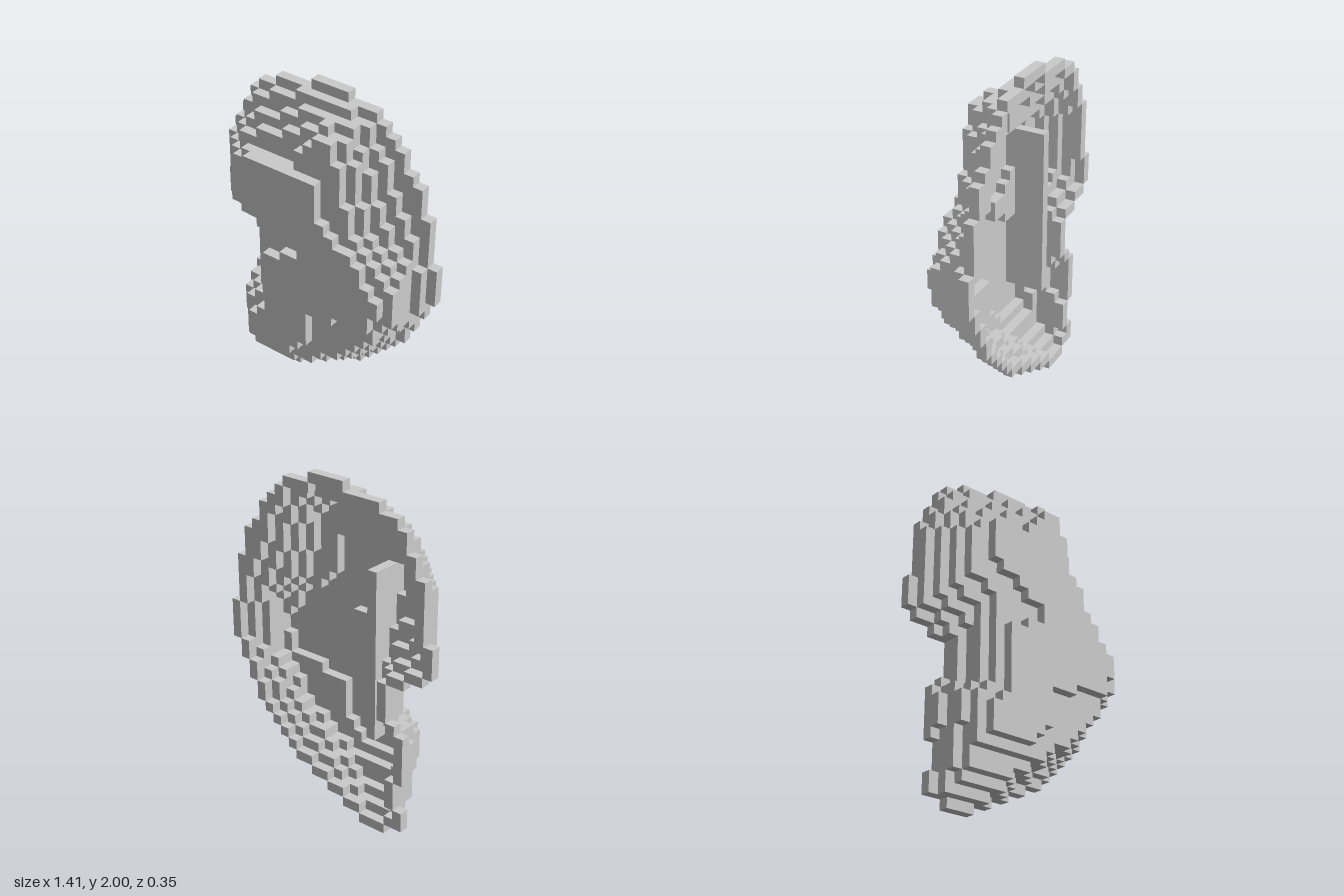
import * as THREE from 'three';
import { mergeGeometries } from 'three/addons/utils/BufferGeometryUtils.js';

const S = 2 / 34; // cube size

// Outlines in cube units, counter-clockwise from the bottom tip
const BACK = [
  [-5, 0], [3, 4], [8.5, 9], [11.6, 15], [11.63, 18.8], [9.85, 26.5], [7, 30.6], [5, 32.7], [1.8, 33.6],
  [-1.8, 33.6], [-6, 32.6], [-8.9, 30.5], [-10.95, 26.5], [-11.8, 18.1], [-7, 15.5], [-7, 12], [-9.25, 10],
  [-8, 4], [-9, 1.2], [-6, 0],
];
const MIDDLE = [
  [-1, 4.6], [4, 7.5], [6.5, 10], [9.6, 14], [9.6, 18], [5, 22], [4, 28], [3, 30.8], [1, 30.6],
  [-1, 29], [-1.5, 27], [-6.5, 27], [-8, 25], [-7.6, 21.5], [-5, 19.5], [-5, 11], [-7, 9.5],
  [-7, 6], [-6, 4.8], [-5, 4.6],
];
const FRONT = [
  [-5, 6], [-1, 6], [1, 9], [1, 12], [8, 13], [9, 16], [6, 20.5], [2, 23], [1.5, 27], [-6, 27],
  [-6, 23], [0, 19.5], [0, 18], [-4, 17], [-4, 10.5], [-6, 9], [-6, 7],
];

// Five layers blend from the back outline to the middle one (the left side
// recedes later than the right), the sixth is the front
const LAYERS = [0, 0.35, 0.63, 0.8, 1].map((t) => BACK.map(([x, y], i) => {
  const s = x < 2 ? t * t : t;
  return [x + (MIDDLE[i][0] - x) * s, y + (MIDDLE[i][1] - y) * s];
}));
LAYERS.push(FRONT);

// Is the centre of cell (c, r) inside the outline?
function inside(outline, c, r) {
  const x = c + 0.5;
  const y = r + 0.5;
  let hit = false;
  outline.forEach(([ax, ay], i) => {
    const [bx, by] = outline[(i + 1) % outline.length];
    if (ay > y !== by > y && x < ax + ((bx - ax) * (y - ay)) / (by - ay)) hit = !hit;
  });
  return hit;
}

// Frontmost layer covering a cell, -1 outside
function height(c, r) {
  for (let k = 5; k >= 0; k--) if (inside(LAYERS[k], c, r)) return k;
  return -1;
}

// One-cube-thick shell, open at the back, with an upright inner wall
function filled(c, r, k) {
  const h = height(c, r);
  if (k < 0 || k > h) return false;
  if (k === h) return true;
  if (c === -5 && r >= 9 && r <= 25 && k >= 1) return true;
  return [[1, 0], [-1, 0], [0, 1], [0, -1]].some(([dc, dr]) => height(c + dc, r + dr) < k);
}

// The six cube faces: direction and a square turned to face it
const FACES = [[1, 0, 0], [-1, 0, 0], [0, 1, 0], [0, -1, 0], [0, 0, 1], [0, 0, -1]].map((d) => {
  const g = new THREE.PlaneGeometry(S, S).translate(0, 0, S / 2);
  const dir = new THREE.Vector3(...d);
  g.applyQuaternion(new THREE.Quaternion().setFromUnitVectors(new THREE.Vector3(0, 0, 1), dir));
  return { d, g };
});

export function createModel() {
  const group = new THREE.Group();
  const squares = [];
  for (let k = 0; k < 6; k++) {
    for (let r = 0; r < 34; r++) {
      for (let c = -12; c < 12; c++) {
        if (!filled(c, r, k)) continue;
        // Keep only the exposed faces
        for (const { d, g } of FACES) {
          if (filled(c + d[0], r + d[1], k + d[2])) continue;
          squares.push(g.clone().translate((c + 0.5) * S, (r + 0.5) * S, (k - 2.5) * S));
        }
      }
    }
  }
  const shell = new THREE.Mesh(
    mergeGeometries(squares),
    new THREE.MeshStandardMaterial({ color: 0xcccccc, flatShading: true }),
  );
  shell.name = 'steppedShell';
  group.add(shell);
  return group;
}
